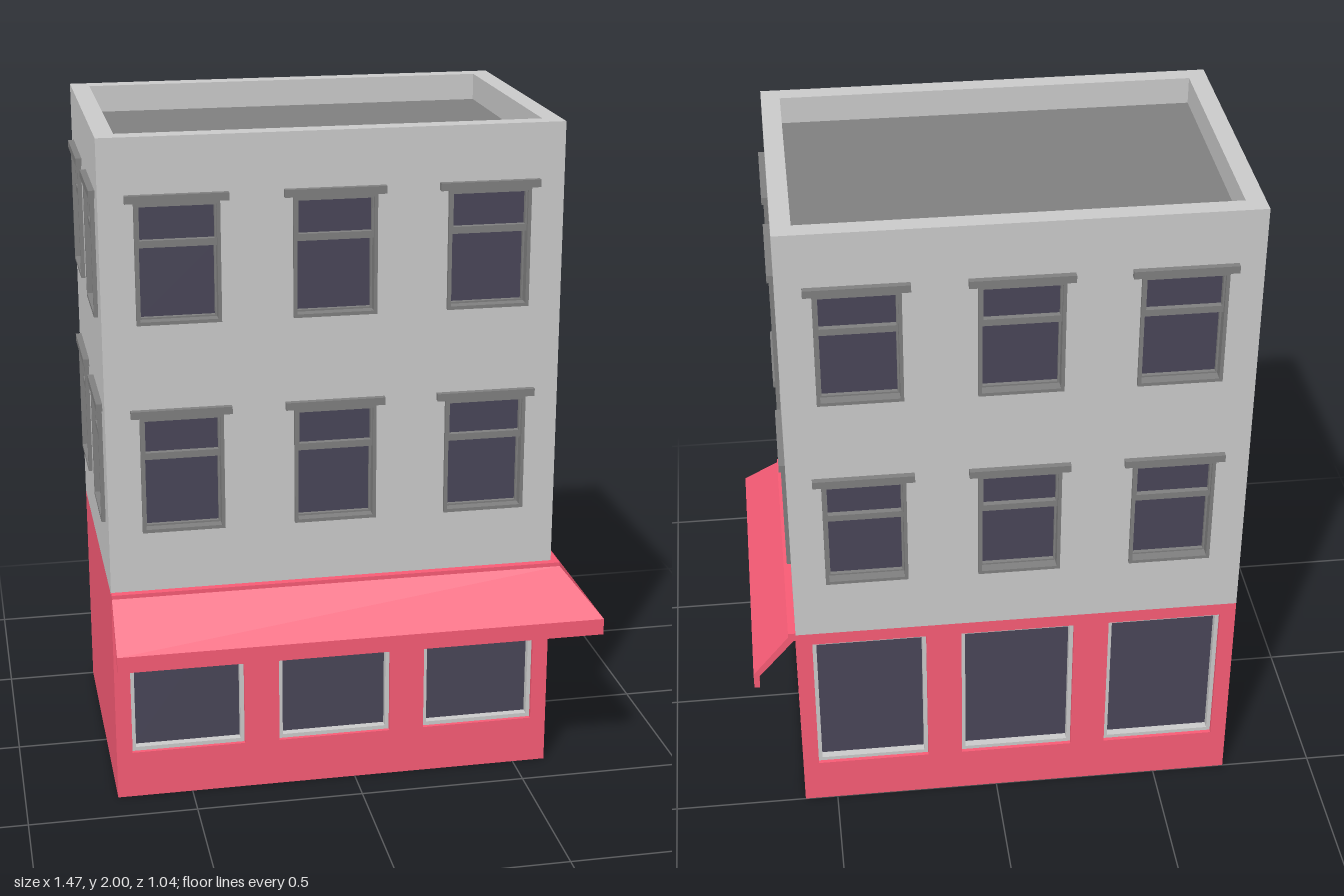
import * as THREE from 'three';

const W = 1.325, D = 0.885, CX = -0.0625, CZ = -0.0575; // footprint and its centre
const T = 0.055, H = 2, FLOOR = 0.66;                   // wall thickness, height, shop height

const mat = (color) => new THREE.MeshStandardMaterial({ color, flatShading: true });
const grey = mat(0xcccccc), trim = mat(0x808080), glass = mat(0x494658), red = mat(0xf95c76);

function add(parent, name, geometry, material, x = 0, y = 0, z = 0) {
  const mesh = new THREE.Mesh(geometry, material);
  mesh.name = name;
  mesh.position.set(x, y, z);
  parent.add(mesh);
  return mesh;
}

const box = (w, h, d) => new THREE.BoxGeometry(w, h, d);

// Rectangular plate with rectangular holes; rects are [x0, y0, x1, y1], z spans z0..z1
function plate([x0, y0, x1, y1], holes, z0, z1) {
  const corners = (a, b, c, d) => [[a, b], [c, b], [c, d], [a, d]].map((p) => new THREE.Vector2(...p));
  const shape = new THREE.Shape(corners(x0, y0, x1, y1));
  for (const h of holes) shape.holes.push(new THREE.Path(corners(...h).reverse()));
  return new THREE.ExtrudeGeometry(shape, { depth: z1 - z0, bevelEnabled: false }).translate(0, 0, z0);
}

// Upper sash window, origin at bottom centre on the wall plane, +z outwards
function sashWindow(x, y) {
  const g = new THREE.Group();
  g.name = 'sashWindow';
  g.position.set(x, y, 0);
  add(g, 'windowFrame', plate([-0.12, 0, 0.12, 0.35], [[-0.11, 0.01, 0.11, 0.35 - 0.01]], -0.04, 0.012), trim);
  add(g, 'upperSash', plate([-0.11, 0.22, 0.11, 0.34], [[-0.105, 0.24, 0.105, 0.335]], -0.03, 0.002), trim);
  add(g, 'upperGlass', box(0.22, 0.11, 0.01), glass, 0, 0.285, -0.02);
  add(g, 'lowerSash', plate([-0.11, 0.01, 0.11, 0.22], [[-0.105, 0.015, 0.105, 0.215]], -0.04, -0.018), trim);
  add(g, 'lowerGlass', box(0.22, 0.21, 0.01), glass, 0, 0.115, -0.035);
  add(g, 'lintel', box(0.29, 0.022, 0.036), trim, 0, 0.359, 0);
  return g;
}

// Large shop window
function shopWindow(x) {
  const g = new THREE.Group();
  g.name = 'shopWindow';
  g.position.x = x;
  add(g, 'shopFrame', plate([-0.17, 0.145, 0.17, 0.62], [[-0.158, 0.157, 0.158, 0.608]], -0.045, -0.012), grey);
  add(g, 'shopGlass', box(0.33, 0.465, 0.01), glass, 0, 0.3825, -0.04);
  return g;
}

// Double entrance door
function doubleDoor() {
  const g = new THREE.Group();
  g.name = 'doubleDoor';
  add(g, 'doorFrame', plate([-0.228, 0.01, 0.228, 0.62], [[-0.22, 0.018, 0.22, 0.612]], -0.045, -0.008), trim);
  add(g, 'doorGap', box(0.012, 0.6, 0.02), trim, 0, 0.315, -0.03);
  for (const s of [-1, 1]) {
    const leaf = [s * 0.113 - 0.107, 0.018, s * 0.113 + 0.107, 0.612];
    const pane = [s * 0.113 - 0.098, 0.16, s * 0.113 + 0.098, 0.6];
    add(g, 'doorLeaf', plate(leaf, [pane], -0.045, -0.018), grey);
    add(g, 'doorGlass', box(0.2, 0.445, 0.01), glass, s * 0.113, 0.38, -0.032);
  }
  return g;
}

// One side of the building: red shop wall, grey upper wall and their openings
function facade(name, width, columns, ground) {
  const g = new THREE.Group();
  g.name = name;
  const upper = [], lower = [];
  for (const x of columns) {
    for (const y of [0.85, 1.47]) {
      upper.push([x - 0.12, y, x + 0.12, y + 0.35]);
      g.add(sashWindow(x, y));
    }
    if (ground === 'shop') {
      lower.push([x - 0.17, 0.145, x + 0.17, 0.62]);
      g.add(shopWindow(x));
    }
  }
  if (ground === 'door') {
    lower.push([-0.228, 0.01, 0.228, 0.62]);
    g.add(doubleDoor());
  }
  add(g, 'shopWall', plate([-width / 2, 0, width / 2, FLOOR], lower, -T, 0), red);
  add(g, 'upperWall', plate([-width / 2, FLOOR, width / 2, H], upper, -T, 0), grey);
  return g;
}

// Awning length with the end at t = end cut to a 45 degree mitre
function awning(length, mitreAtStart) {
  const profile = [[0, 0.64], [0.006, 0.64], [0.115, 0.512], [0.115, 0.47], [0.132, 0.47],
    [0.132, 0.52], [0.022, 0.655], [0.022, 0.667], [0, 0.667]];
  const shape = new THREE.Shape(profile.map((p) => new THREE.Vector2(...p)));
  const geo = new THREE.ExtrudeGeometry(shape, { depth: length, bevelEnabled: false });
  const p = geo.attributes.position;
  for (let i = 0; i < p.count; i++) {
    const atStart = p.getZ(i) < length / 2;
    if (atStart === mitreAtStart) p.setZ(i, p.getZ(i) + (atStart ? -1 : 1) * p.getX(i));
  }
  geo.computeVertexNormals();
  return geo;
}

export function createModel() {
  const model = new THREE.Group();
  model.name = 'cornerShopBuilding';

  // Four walls
  const wide = [-0.445, 0, 0.445], narrow = [-0.2225, 0.2225];
  const sides = [
    ['frontFacade', W, wide, 'shop', 0, D / 2],
    ['leftFacade', D - 2 * T, narrow, 'door', 1, W / 2],
    ['backFacade', W, wide, 'shop', 2, D / 2],
    ['rightFacade', D - 2 * T, narrow, 'plain', 3, W / 2],
  ];
  for (const [name, width, columns, ground, turn, out] of sides) {
    const g = facade(name, width, columns, ground);
    const a = turn * Math.PI / 2;
    g.rotation.y = a;
    g.position.set(CX + Math.sin(a) * out, 0, CZ + Math.cos(a) * out);
    model.add(g);
  }

  // Ground slab and sunken flat roof
  add(model, 'groundSlab', box(W - 2 * T, 0.02, D - 2 * T), red, CX, 0.01, CZ);
  add(model, 'roof', box(W - 2 * T, 0.03, D - 2 * T), trim, CX, 1.905, CZ);

  // Awning wrapping the shop corner
  const front = add(model, 'frontAwning', awning(W, true), red, CX + W / 2, 0, CZ + D / 2);
  front.rotation.y = -Math.PI / 2;
  add(model, 'sideAwning', awning(D, false), red, CX + W / 2, 0, CZ - D / 2);

  return model;
}
